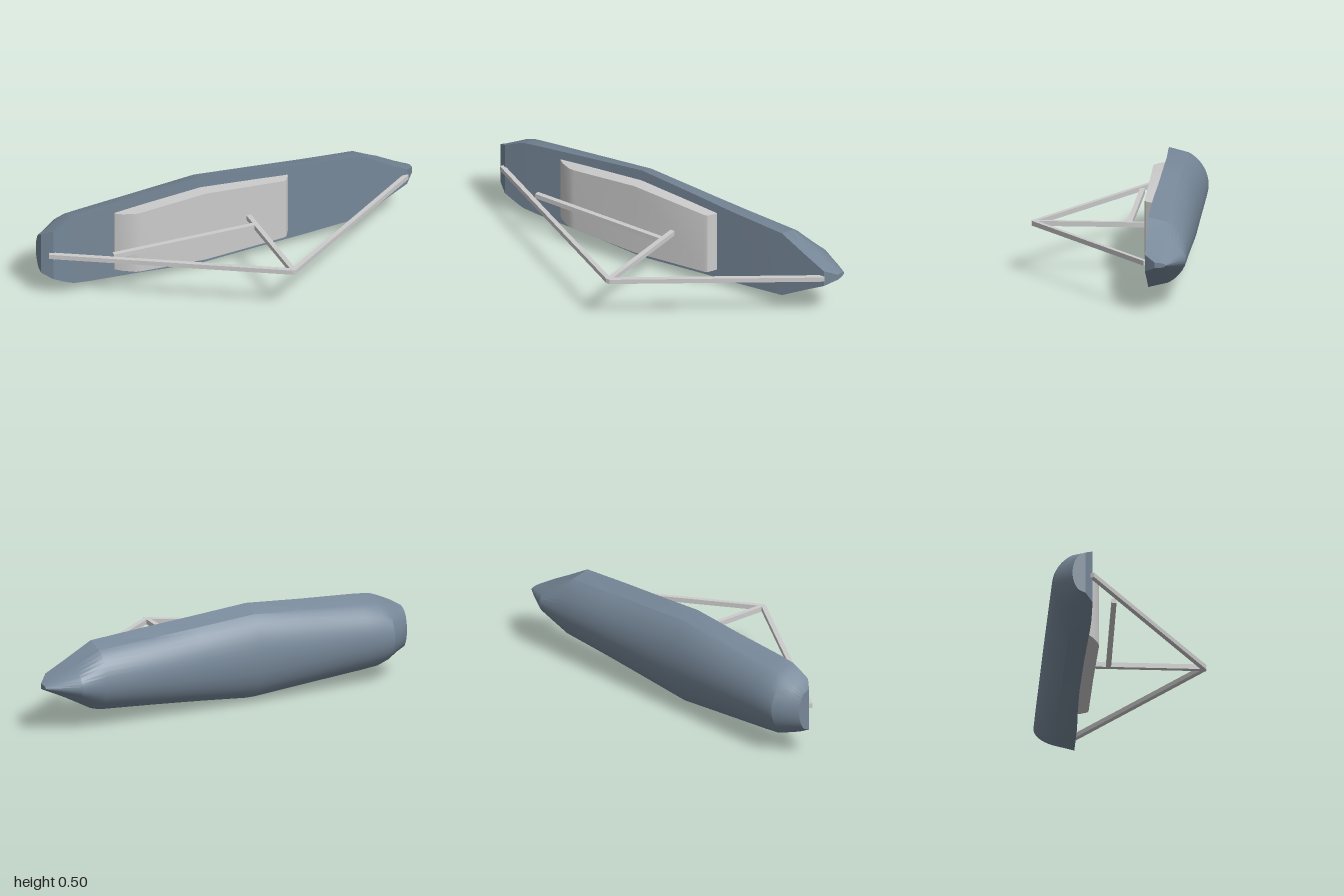
import * as THREE from 'three';
import { toCreasedNormals } from 'three/addons/utils/BufferGeometryUtils.js';

const MID = 0.2475; // height of the centre plane

const hullMat = new THREE.MeshStandardMaterial({ color: 0x778899 });
const greyMat = new THREE.MeshStandardMaterial({ color: 0xcccccc });

// Closed loft through rings of equal length, ordered along +x
function loft(rings, crease) {
  const n = rings[0].length, index = [];
  for (let i = 0; i < rings.length - 1; i++) {
    for (let j = 0; j < n; j++) {
      const a = i * n + j, b = i * n + (j + 1) % n;
      index.push(a, a + n, b, b, a + n, b + n);
    }
  }
  const end = (rings.length - 1) * n;
  for (let k = 1; k < n - 1; k++) {
    index.push(0, k, k + 1, end, end + k + 1, end + k);
  }
  const geo = new THREE.BufferGeometry();
  geo.setAttribute('position', new THREE.Float32BufferAttribute(rings.flat(2), 3));
  geo.setIndex(index);
  return toCreasedNormals(geo, crease);
}

// Square spar between two points of the centre plane, given as [x, z]
function spar(name, from, to, size = 0.025) {
  const a = new THREE.Vector3(from[0], MID, from[1]);
  const b = new THREE.Vector3(to[0], MID, to[1]);
  const mesh = new THREE.Mesh(new THREE.BoxGeometry(size, size, a.distanceTo(b)), greyMat);
  mesh.position.copy(a).add(b).multiplyScalar(0.5);
  mesh.lookAt(b);
  mesh.name = name;
  return mesh;
}

export function createModel() {
  const boat = new THREE.Group();
  boat.name = 'sailboat';

  // Hull stations: x, half beam, deck z, keel z
  const stations = [
    [-1, 0.11, -0.25, -0.315],
    [-0.95, 0.138, -0.213, -0.36],
    [-0.89, 0.167, -0.213, -0.402],
    [-0.84, 0.187, -0.213, -0.408],
    [-0.75, 0.197, -0.215, -0.408],
    [-0.45, 0.221, -0.227, -0.408],
    [-0.15, 0.2475, -0.234, -0.408],
    [0.15, 0.222, -0.226, -0.408],
    [0.4, 0.201, -0.216, -0.408],
    [0.7, 0.177, -0.213, -0.408],
    [0.84, 0.1, -0.213, -0.408],
    [0.95, 0.042, -0.213, -0.35],
    [1, 0.014, -0.265, -0.318],
  ];
  // Section: straight topsides, then a finely rounded bottom
  const angles = [0];
  for (let d = 30; d <= 150; d += 7.5) angles.push(d * Math.PI / 180);
  angles.push(Math.PI);
  const hull = new THREE.Mesh(loft(stations.map(([x, w, top, keel]) =>
    angles.map(t => [x, MID + w * Math.cos(t), top + (keel - top) * Math.sin(t)])), 0.35), hullMat);
  hull.name = 'hull';
  boat.add(hull);

  // Cabin stations: x, half width, roof z
  const cabinStations = [
    [-0.62, 0.161, -0.214],
    [-0.59, 0.163, -0.19],
    [-0.53, 0.167, -0.16],
    [-0.5, 0.169, -0.157],
    [-0.15, 0.19, -0.167],
    [0.27, 0.163, -0.166],
    [0.285, 0.162, -0.172],
    [0.31, 0.161, -0.214],
  ];
  const cabin = new THREE.Mesh(loft(cabinStations.map(([x, w, roof]) => [
    [x, MID + w, roof], [x, MID + w, -0.24], [x, MID - w, -0.24], [x, MID - w, roof],
  ]), 0.5), greyMat);
  cabin.name = 'cabin';
  boat.add(cabin);

  // Mast, boom and the two stays
  const mastHead = [0.08, 0.397];
  boat.add(
    spar('mast', [0.08, -0.225], [0.08, 0.405]),
    spar('boom', [0.08, -0.078], [-0.68, -0.092]),
    spar('backStay', mastHead, [-0.97, -0.217], 0.024),
    spar('foreStay', mastHead, [0.95, -0.217], 0.024),
  );
  return boat;
}
